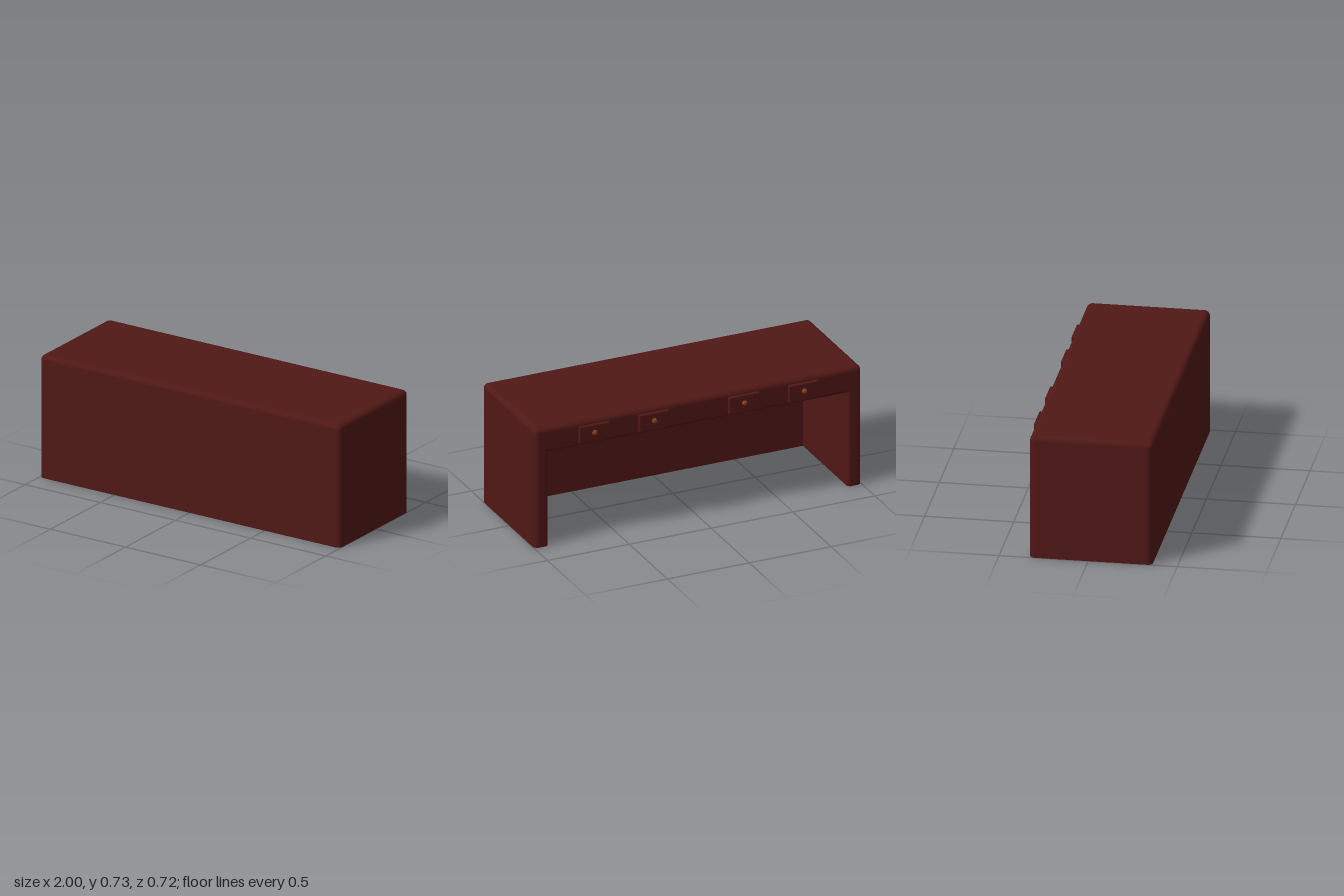
import * as THREE from 'three';
import { RoundedBoxGeometry } from 'three/addons/geometries/RoundedBoxGeometry.js';

const HEIGHT = 0.725, BACK = -0.33, FRONT = 0.36, RADIUS = 0.03;
const INNER_X = 0.914, INNER_Y = 0.571, INNER_Z = 0.26; // knee space
const FILLET = 0.02; // rounding of the opening's edge
const CUT = 0.1; // part of the rounded box sliced off below the floor

// Rounded outer skin, flat at the floor, without its bottom and flat back face
function shellGeometry() {
  const box = new RoundedBoxGeometry(2, HEIGHT + CUT, FRONT - BACK, 5, RADIUS);
  box.translate(0, (HEIGHT - CUT) / 2, (FRONT + BACK) / 2);
  const p = box.attributes.position, n = box.attributes.normal;
  const positions = [], normals = [];
  for (let i = 0; i < p.count; i += 3) {
    const tri = [i, i + 1, i + 2];
    if (tri.every(k => p.getY(k) < 0) || tri.every(k => n.getZ(k) < -0.999)) continue;
    for (const k of tri) {
      const below = p.getY(k) < 0;
      const normal = new THREE.Vector3(n.getX(k), below ? 0 : n.getY(k), n.getZ(k)).normalize();
      positions.push(p.getX(k), Math.max(0, p.getY(k)), p.getZ(k));
      normals.push(normal.x, normal.y, normal.z);
    }
  }
  const g = new THREE.BufferGeometry();
  g.setAttribute('position', new THREE.Float32BufferAttribute(positions, 3));
  g.setAttribute('normal', new THREE.Float32BufferAttribute(normals, 3));
  return g;
}

// Outline of the opening, widened by an offset
const opening = offset => {
  const x = INNER_X + offset, y = INNER_Y + offset;
  return [[-x, 0], [-x, y], [x, y], [x, 0]];
};

// Flat frame around the opening at the back
function backFrameGeometry() {
  const x = 1 - RADIUS, y = HEIGHT - RADIUS;
  const s = new THREE.Shape([[-x, 0], ...opening(FILLET), [x, 0], [x, y], [-x, y]]
    .map(c => new THREE.Vector2(...c)));
  return new THREE.ShapeGeometry(s).rotateY(Math.PI).translate(0, 0, BACK);
}

// One wall of the knee space: rounded edge at the opening, then flat to the front panel
function liningGeometry(wall) {
  const steps = 6, rings = [];
  for (let i = 0; i <= steps; i++) {
    const a = i / steps * Math.PI / 2;
    rings.push([FILLET * (1 - Math.sin(a)), BACK + FILLET * (1 - Math.cos(a))]);
  }
  rings.push([0, INNER_Z]);
  const positions = [], index = [];
  rings.forEach(([offset, z], i) => {
    const path = opening(offset);
    positions.push(...path[wall], z, ...path[wall + 1], z);
    const a = i * 2;
    if (i < rings.length - 1) index.push(a, a + 1, a + 2, a + 1, a + 3, a + 2);
  });
  const g = new THREE.BufferGeometry();
  g.setAttribute('position', new THREE.Float32BufferAttribute(positions, 3));
  g.setIndex(index);
  g.computeVertexNormals();
  return g;
}

// U-shaped underside of the side and front panels
function bottomRimGeometry() {
  const r = RADIUS, f = FILLET, s = new THREE.Shape();
  s.moveTo(INNER_X + f, BACK);
  s.lineTo(1 - r, BACK);
  s.absarc(1 - r, BACK + r, r, -Math.PI / 2, 0);
  s.absarc(1 - r, FRONT - r, r, 0, Math.PI / 2);
  s.absarc(-1 + r, FRONT - r, r, Math.PI / 2, Math.PI);
  s.absarc(-1 + r, BACK + r, r, Math.PI, Math.PI * 1.5);
  s.absarc(-INNER_X - f, BACK + f, f, -Math.PI / 2, 0);
  s.lineTo(-INNER_X, INNER_Z);
  s.lineTo(INNER_X, INNER_Z);
  s.absarc(INNER_X + f, BACK + f, f, Math.PI, Math.PI * 1.5);
  return new THREE.ShapeGeometry(s, 6).rotateX(Math.PI / 2);
}

export function createModel() {
  const model = new THREE.Group();
  model.name = 'desk';
  const wood = new THREE.MeshStandardMaterial({ color: 0x501816, side: THREE.DoubleSide });
  const knobMaterial = new THREE.MeshStandardMaterial({ color: 0x8b4020 });

  const add = (name, geometry, material = wood, parent = model) => {
    const mesh = new THREE.Mesh(geometry, material);
    mesh.name = name;
    parent.add(mesh);
    return mesh;
  };

  // Body
  add('outerShell', shellGeometry());
  add('backFrame', backFrameGeometry());
  add('bottomRim', bottomRimGeometry());

  // Knee space
  ['rightPanelInside', 'kneeSpaceCeiling', 'leftPanelInside']
    .forEach((name, wall) => add(name, liningGeometry(wall)));
  add('frontPanelInside', new THREE.PlaneGeometry(INNER_X * 2, INNER_Y)
    .rotateY(Math.PI).translate(0, INNER_Y / 2, INNER_Z));

  // Four drawers with knobs
  for (const x of [-0.64, -0.275, 0.275, 0.64]) {
    const drawer = new THREE.Group();
    drawer.name = 'drawer';
    drawer.position.set(x, 0.642, BACK);
    model.add(drawer);
    add('drawerFront', new RoundedBoxGeometry(0.185, 0.104, 0.035, 3, 0.006), wood, drawer);
    const knob = add('drawerKnob', new THREE.SphereGeometry(0.016, 20, 14), knobMaterial, drawer);
    knob.position.set(0, 0.005, -0.0175);
    knob.scale.z = 0.78;
  }
  return model;
}
